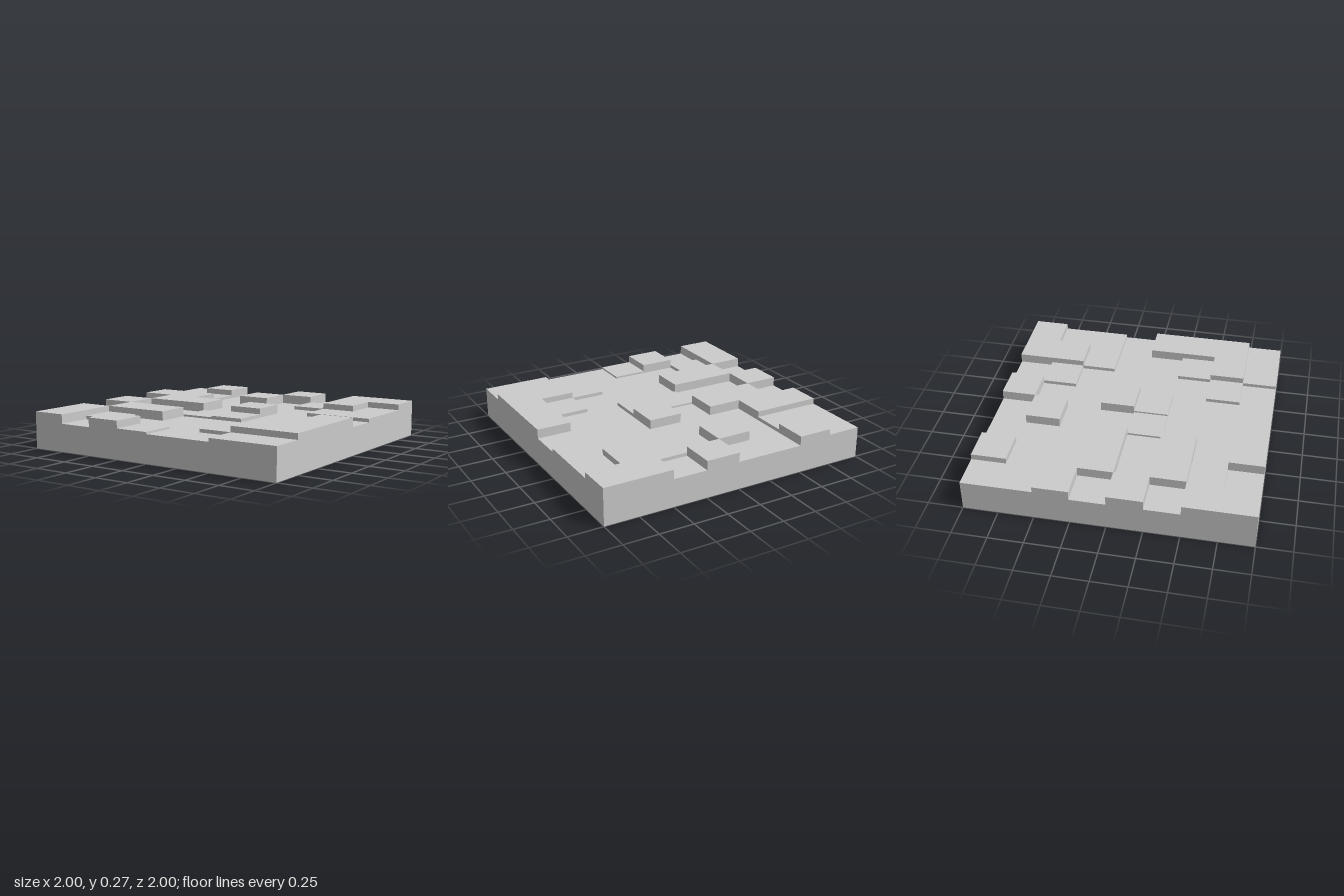
import * as THREE from 'three';

const CELL = 0.25, BASE = 0.2;
const LOW = 0.214, MID = 0.225, HIGH = 0.267;

// raised tiles on an 8 x 8 grid: [column, row, columns, rows, top height]
const TILES = [
  // back rows
  [0, 0, 1, 2, MID], [1, 1, 1, 1, MID], [1, 0, 1, 1, HIGH],
  [4, 0, 1, 1, HIGH], [3, 1, 1, 1, HIGH], [5, 1, 1, 1, MID],
  [6, 0, 2, 1, HIGH], [6, 1, 1, 1, HIGH], [7, 1, 1, 2, MID], [6, 2, 1, 1, MID],
  // middle rows
  [0, 2, 2, 1, HIGH], [1, 3, 2, 1, HIGH], [0, 4, 1, 1, HIGH],
  [4, 3, 1, 1, HIGH], [3, 4, 1, 1, LOW], [4, 4, 1, 1, MID],
  [1, 5, 2, 1, HIGH], [6, 5, 1, 1, MID], [7, 4, 1, 3, HIGH],
  // front rows
  [0, 6, 1, 2, HIGH], [1, 6, 1, 1, MID], [2, 7, 1, 1, HIGH], [3, 7, 1, 1, LOW],
  [5, 6, 1, 1, MID], [6, 6, 1, 1, HIGH], [6, 7, 2, 1, MID],
];

export function createModel() {
  const model = new THREE.Group();
  model.name = 'pavedFloorTile';
  const material = new THREE.MeshStandardMaterial({ color: 0xcccccc, flatShading: true });

  function addBox(name, w, h, d, x, bottom, z) {
    const mesh = new THREE.Mesh(new THREE.BoxGeometry(w, h, d), material);
    mesh.name = name;
    mesh.position.set(x, bottom + h / 2, z);
    model.add(mesh);
  }

  // square slab
  addBox('baseSlab', 2, BASE, 2, 0, 0, 0);

  // raised paving stones
  for (const [col, row, cols, rows, top] of TILES) {
    addBox('pavingStone', cols * CELL, top - BASE, rows * CELL,
      -1 + (col + cols / 2) * CELL, BASE, -1 + (row + rows / 2) * CELL);
  }
  return model;
}
